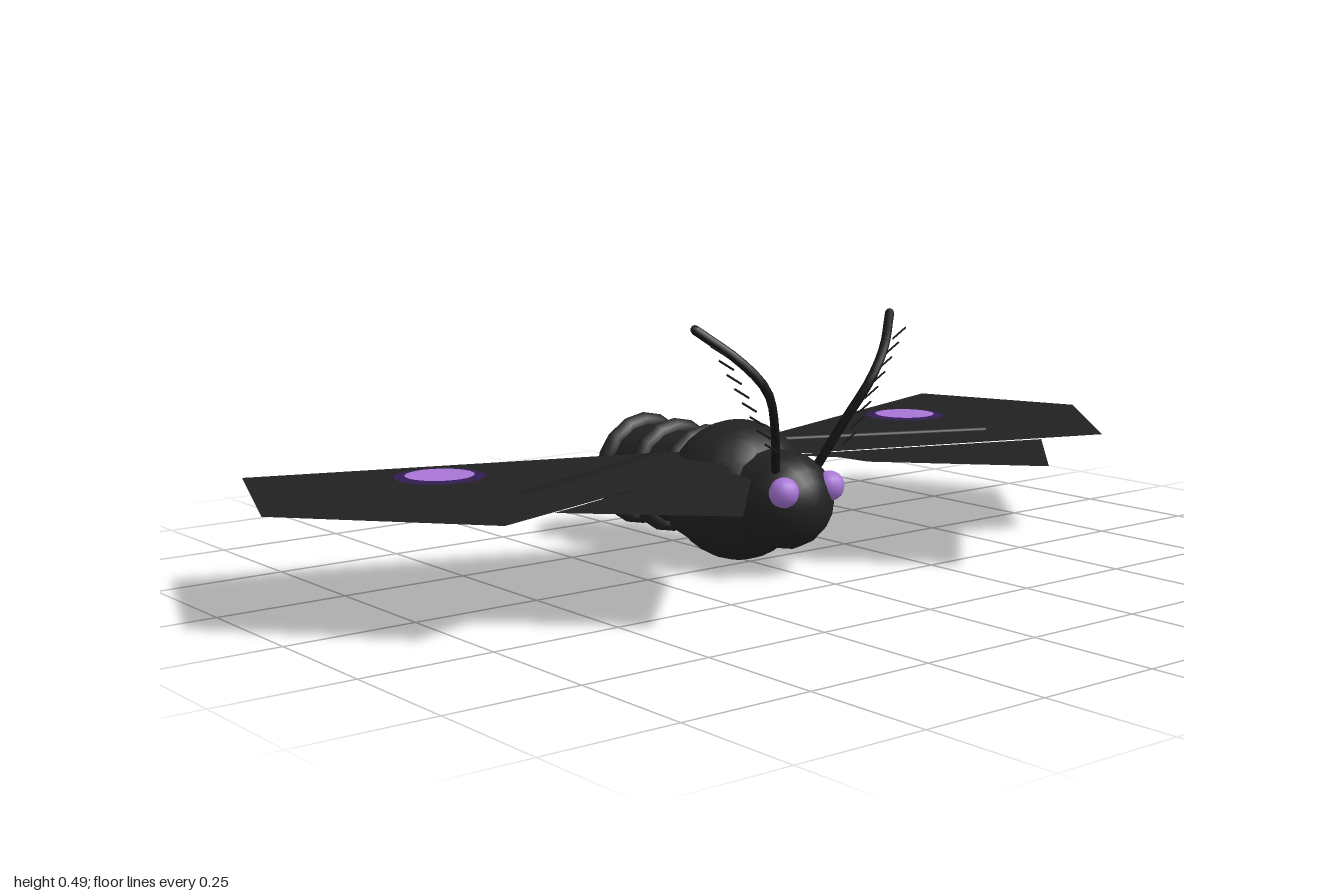
import * as THREE from 'three';

const mat = (name, color, side = THREE.FrontSide) => {
  const m = new THREE.MeshStandardMaterial({ color, side });
  m.name = name;
  return m;
};

export function createModel() {
  const model = new THREE.Group();
  model.name = 'moth';
  const body = mat('charcoal body', 0x222222);
  const wing = mat('dark wing', 0x212121, THREE.DoubleSide);
  const dark = mat('black stem', 0x161616);
  const purple = mat('light purple', 0xa875d6);
  const ringPurple = mat('deep purple', 0x321c52);

  const add = (parent, name, geometry, material, x = 0, y = 0, z = 0) => {
    const mesh = new THREE.Mesh(geometry, material);
    mesh.name = name;
    mesh.position.set(x, y, z);
    parent.add(mesh);
    return mesh;
  };
  // Straight thin rod between two points
  const rod = (parent, name, a, b, r, sides) =>
    add(parent, name, new THREE.TubeGeometry(new THREE.LineCurve3(a, b), 1, r, sides), dark);
  // Flat horizontal plate from x,z corners
  const plate = (parent, name, corners, s, y) => {
    const shape = new THREE.Shape(corners.map(([x, z]) => new THREE.Vector2(x * s, -z)));
    add(parent, name, new THREE.ShapeGeometry(shape).rotateX(-Math.PI / 2), wing, 0, y, 0);
  };
  const V = (x, y, z) => new THREE.Vector3(x, y, z);

  // Long rounded body with a round thorax and raised abdomen rings
  add(model, 'headAndAbdomen', new THREE.CapsuleGeometry(0.095, 0.448, 6, 16).rotateX(Math.PI / 2), body, 0, 0.14, -0.121);
  add(model, 'thorax', new THREE.SphereGeometry(0.138, 16, 16), body, 0, 0.14, -0.035);
  [-0.14, -0.243, -0.347].forEach((z, i) =>
    add(model, `abdomenRing${i + 1}`, new THREE.TorusGeometry(0.097, 0.02, 6, 16), body, 0, 0.14, z));

  for (const s of [1, -1]) {
    const side = new THREE.Group();
    side.name = s > 0 ? 'leftSide' : 'rightSide';
    model.add(side);

    add(side, 'eye', new THREE.SphereGeometry(0.029, 12, 10), purple, s * 0.057, 0.17, 0.168);

    // Wings, with the hind wing tucked just under the fore wing
    plate(side, 'foreWing', [[0.07, -0.13], [0.866, -0.41], [1, -0.06], [0.73, 0.26], [0.07, 0.03]], s, 0.211);
    plate(side, 'hindWing', [[0.07, 0.02], [0.6, 0.21], [0.375, 0.435], [0.145, 0.18], [0.12, 0.0]], s, 0.208);
    rod(side, 'wingVein', V(s * 0.1, 0.211, -0.145), V(s * 0.585, 0.211, 0.065), 0.006, 6);

    // Eye spot on the fore wing
    add(side, 'spotRing', new THREE.CircleGeometry(0.084, 24).rotateX(-Math.PI / 2), ringPurple, s * 0.587, 0.214, -0.18);
    add(side, 'spotCentre', new THREE.CircleGeometry(0.064, 24).rotateX(-Math.PI / 2), purple, s * 0.587, 0.217, -0.18);

    // Curved antenna with a row of fine bristles
    const curve = new THREE.CatmullRomCurve3([
      V(s * 0.05, 0.2, 0.135), V(s * 0.085, 0.29, 0.175), V(s * 0.127, 0.37, 0.203),
      V(s * 0.175, 0.425, 0.188), V(s * 0.24, 0.485, 0.135)]);
    add(side, 'antenna', new THREE.TubeGeometry(curve, 14, 0.009, 6), dark);
    const end = curve.getPoint(1);
    add(side, 'antennaTip', new THREE.SphereGeometry(0.009, 6, 5), dark, end.x, end.y, end.z);
    for (let i = 0; i < 8; i++) {
      const t = i / 7;
      const x = 0.08 + 0.125 * t, y = 0.25 + 0.19 * t;
      rod(side, `bristle${i + 1}`, V(s * x, y, 0.18), V(s * (x + 0.035), y + 0.02, 0.18), 0.002, 4);
    }
  }
  return model;
}
